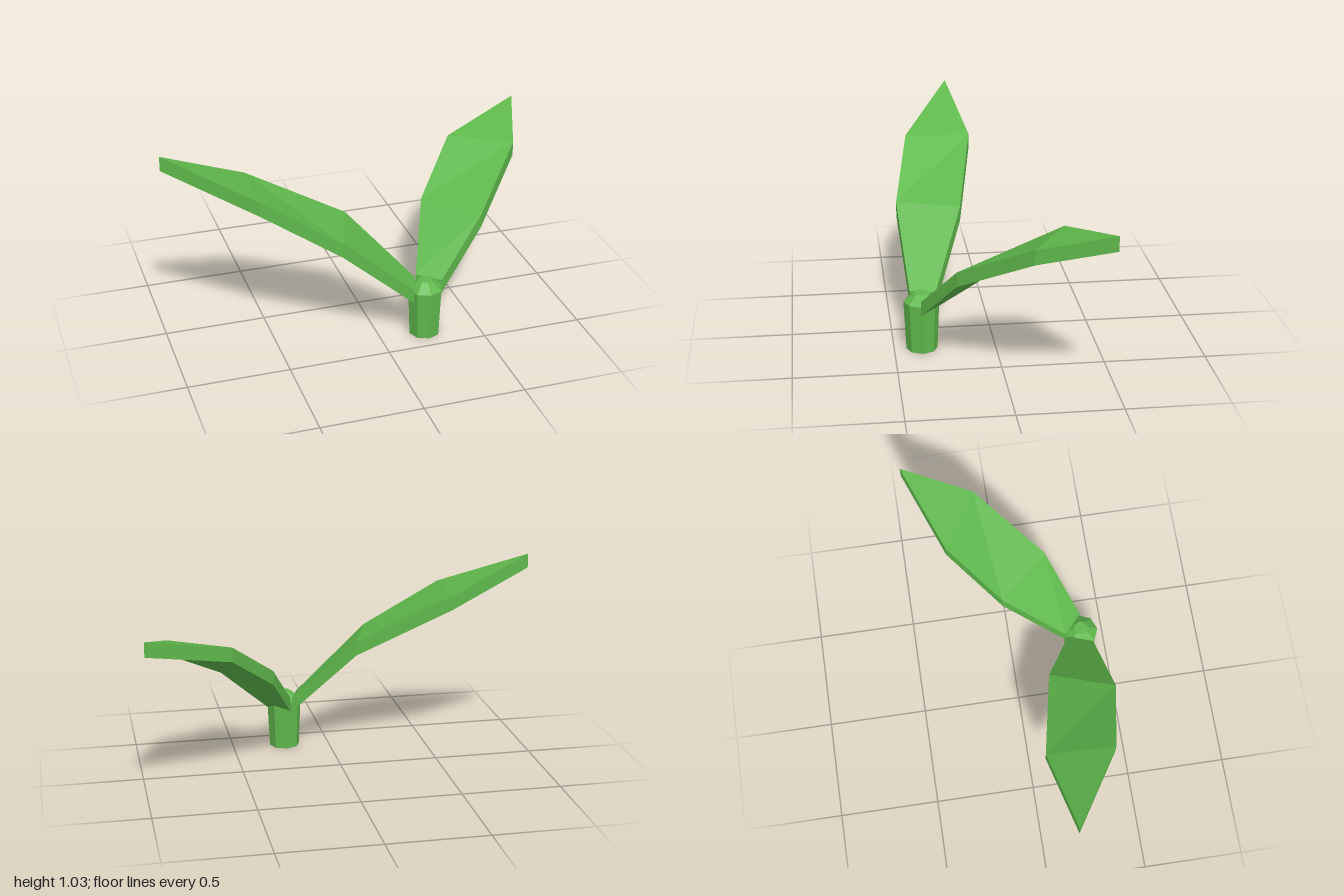
import * as THREE from 'three';

const THICKNESS = 0.073;

// Leaf slab from cross-sections [rightPoint, leftPoint], ending in a pointed tip
function leafGeometry(sections, tip) {
  const rows = [...sections, [tip, tip]].map(([a, b]) => [
    a, b,
    [a[0], a[1] - THICKNESS, a[2]],
    [b[0], b[1] - THICKNESS, b[2]],
  ]);
  const pos = [];
  const tri = (...pts) => pts.forEach((p) => pos.push(...p));
  const quad = (p, q, r, s) => {
    if (p !== s) tri(p, r, s);
    tri(p, q, r);
  };
  const [a, b, a2, b2] = rows[0];
  quad(a, b, b2, a2); // base end
  for (let i = 0; i < rows.length - 1; i++) {
    const [a0, b0, c0, d0] = rows[i];
    const [a1, b1, c1, d1] = rows[i + 1];
    quad(b0, a0, a1, b1); // upper face
    quad(c0, d0, d1, c1); // lower face
    quad(a0, c0, c1, a1); // right rim
    quad(b0, b1, d1, d0); // left rim
  }
  const geo = new THREE.BufferGeometry();
  geo.setAttribute('position', new THREE.Float32BufferAttribute(pos, 3));
  geo.computeVertexNormals();
  return geo;
}

export function createModel() {
  const group = new THREE.Group();
  const green = new THREE.MeshStandardMaterial({ color: 0x5fb84c, flatShading: true });
  green.name = 'leaf green';

  const add = (name, geo, x = 0, y = 0, z = 0) => {
    const mesh = new THREE.Mesh(geo, green);
    mesh.name = name;
    mesh.position.set(x, y, z);
    group.add(mesh);
  };

  // Eight-sided stem with a bevelled top
  add('stem', new THREE.CylinderGeometry(0.088, 0.077, 0.25, 8), 0.23, 0.125, 0.3625);
  add('stemCap', new THREE.CylinderGeometry(0.036, 0.088, 0.045, 8), 0.23, 0.2725, 0.3625);

  // Long leaf reaching to -x
  add('longLeaf', leafGeometry([
    [[0.2, 0.275, 0.29], [0.155, 0.275, 0.415]],
    [[-0.11, 0.608, 0.135], [-0.215, 0.608, 0.45]],
    [[-0.58, 0.845, 0.04], [-0.59, 0.845, 0.372]],
  ], [-1, 1.027, 0.125]));

  // Short leaf reaching to +x and back
  add('shortLeaf', leafGeometry([
    [[0.315, 0.28, 0.37], [0.21, 0.28, 0.28]],
    [[0.575, 0.533, 0.22], [0.345, 0.533, -0.03]],
    [[0.868, 0.742, -0.1], [0.577, 0.742, -0.28]],
  ], [1, 0.842, -0.45]));

  return group;
}
